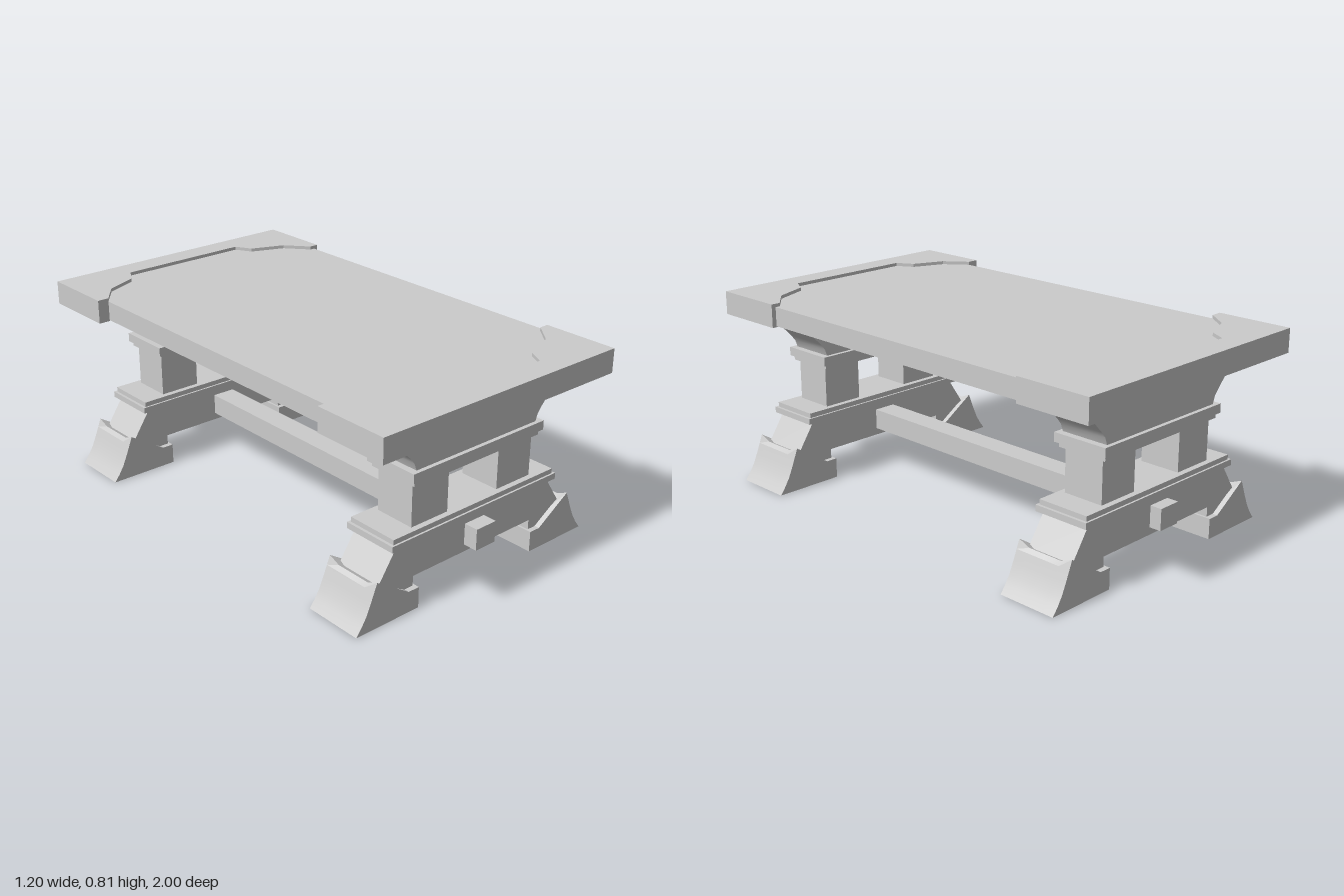
import * as THREE from 'three';
import { toCreasedNormals } from 'three/addons/utils/BufferGeometryUtils.js';

const material = new THREE.MeshStandardMaterial({ color: 0xcccccc });

function add(parent, name, geometry) {
  const mesh = new THREE.Mesh(geometry, material);
  mesh.name = name;
  parent.add(mesh);
  return mesh;
}

// Box given by its limits on each axis
function box(parent, name, x0, x1, y0, y1, z0, z1) {
  const geometry = new THREE.BoxGeometry(x1 - x0, y1 - y0, z1 - z0);
  geometry.translate((x0 + x1) / 2, (y0 + y1) / 2, (z0 + z1) / 2);
  return add(parent, name, geometry);
}

function shapeOf(points) {
  return new THREE.Shape(points.map(([x, y]) => new THREE.Vector2(x, y)));
}

// Front profile extruded along z, centred on z = 0
function profile(points, depth, steps = 1) {
  const geometry = new THREE.ExtrudeGeometry(shapeOf(points), { depth, steps, bevelEnabled: false });
  return geometry.translate(0, 0, -depth / 2);
}

// Right half of a profile joined to its mirror image
function mirrored(half) {
  return [...half, ...half.map(([x, y]) => [-x, y]).reverse()];
}

// Foot block with flared outer face; its upper outer rim dips in the middle
function footGeometry(side) {
  const points = [
    [0.3, 0], [0.6, 0], [0.577, 0.03], [0.555, 0.065], [0.535, 0.11], [0.519, 0.15],
    [0.505, 0.185], [0.35, 0.085], [0.3, 0.085],
  ].map(([x, y]) => [x * side, y]);
  const geometry = profile(points, 0.248, 4);
  const position = geometry.attributes.position;
  for (let i = 0; i < position.count; i++) {
    const z = position.getZ(i);
    if (Math.abs(z) > 0.1) continue;
    if (position.getY(i) > 0.18) position.setY(i, 0.165);
    if (Math.abs(z) > 0.03) position.setZ(i, Math.sign(z) * 0.075);
  }
  geometry.computeVertexNormals();
  return toCreasedNormals(geometry, 0.35);
}

function trestle(name, z) {
  const group = new THREE.Group();
  group.name = name;
  group.position.z = z;

  // Splayed base and its feet
  add(group, 'base', profile(mirrored([
    [0.4, 0.27], [0.49, 0.135], [0.49, 0.04], [0.31, 0.04], [0.31, 0.125],
  ]), 0.205));
  for (const side of [-1, 1]) add(group, side > 0 ? 'leftFoot' : 'rightFoot', footGeometry(side));

  // Stepped mouldings below and above the columns
  const mouldings = [
    ['lowerMoulding', 0.43, 0.27, 0.295, 0.118],
    ['lowerMouldingStep', 0.418, 0.295, 0.315, 0.11],
    ['upperMouldingStep', 0.323, 0.488, 0.508, 0.107],
    ['upperMoulding', 0.337, 0.508, 0.545, 0.118],
  ];
  for (const [part, x, y0, y1, depth] of mouldings) box(group, part, -x, x, y0, y1, -depth, depth);

  // Pair of square columns
  for (const side of [-1, 1]) {
    const column = box(group, side > 0 ? 'leftColumn' : 'rightColumn', -0.09, 0.09, 0.312, 0.49, -0.086, 0.086);
    column.position.x = side * 0.22;
  }

  // Flared bracket under the top, notched in the middle
  const bracket = profile(mirrored([
    [0.13, 0.655], [0.13, 0.72], [0.392, 0.72], [0.392, 0.655], [0.365, 0.626],
    [0.34, 0.6], [0.32, 0.575], [0.308, 0.543],
  ]), 0.203);
  add(group, 'bracket', toCreasedNormals(bracket, 0.45));
  return group;
}

// End cap of the table top with a shaped inner edge
function endCap(side) {
  const outline = [
    [-0.598, 1], [-0.598, 0.68], [-0.55, 0.68], [-0.475, 0.775], [-0.34, 0.83], [-0.3, 0.9],
    [0.265, 0.9], [0.303, 0.83], [0.445, 0.775], [0.525, 0.68], [0.565, 0.68], [0.565, 1],
  ].map(([x, z]) => [x, -z * side]);
  const geometry = new THREE.ExtrudeGeometry(shapeOf(outline), { depth: 0.098, bevelEnabled: false });
  return geometry.rotateX(-Math.PI / 2).translate(0, 0.712, 0);
}

export function createModel() {
  const table = new THREE.Group();
  table.name = 'trestleTable';

  box(table, 'tableTop', -0.55, 0.546, 0.716, 0.796, -0.91, 0.91);
  add(table, 'frontEndCap', endCap(1));
  add(table, 'backEndCap', endCap(-1));

  table.add(trestle('frontTrestle', 0.763));
  table.add(trestle('backTrestle', -0.768));

  // Long beam passing through both trestles
  box(table, 'stretcher', -0.05, 0.05, 0.155, 0.242, -0.92, 0.925);
  return table;
}
